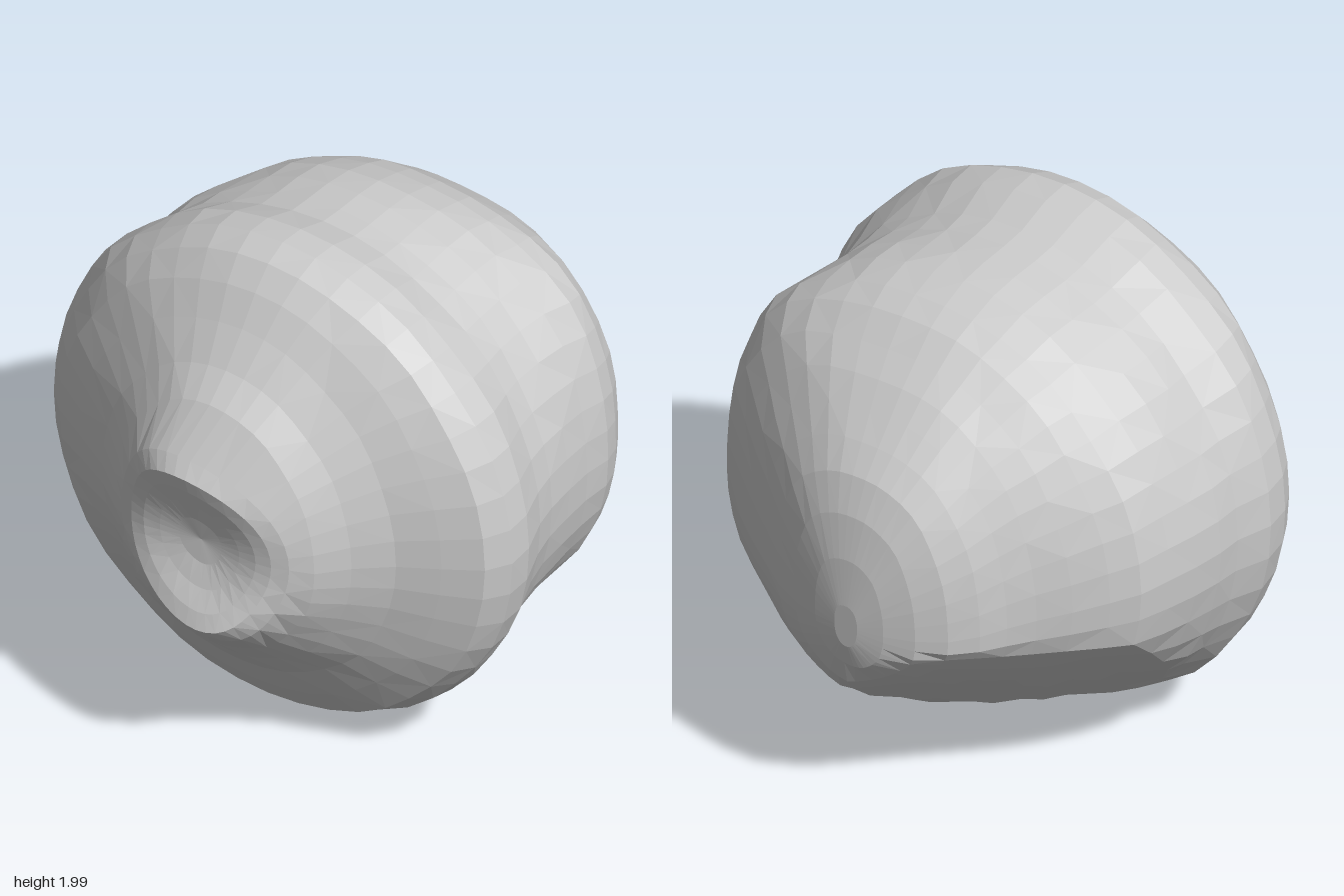
import * as THREE from 'three';

const SIDES = 44;

// Cross-sections from front to back: z, reach to +x, -x, top y, bottom y
const SECTIONS = [
  [0.80, 0.45, -0.41, 1.55, 0.52],
  [0.70, 0.54, -0.53, 1.64, 0.42],
  [0.60, 0.66, -0.70, 1.76, 0.31],
  [0.52, 0.80, -0.84, 1.87, 0.18],
  [0.44, 0.93, -0.92, 1.95, 0.07],
  [0.35, 0.985, -0.97, 1.99, 0.03],
  [0.24, 0.98, -0.99, 1.98, 0.00],
  [0.10, 0.93, -0.95, 1.93, 0.04],
  [0.00, 0.91, -0.95, 1.92, 0.08],
  [-0.12, 0.90, -0.935, 1.915, 0.10],
  [-0.24, 0.895, -0.91, 1.90, 0.13],
  [-0.36, 0.90, -0.87, 1.86, 0.18],
  [-0.45, 0.87, -0.80, 1.82, 0.22],
  [-0.55, 0.81, -0.71, 1.74, 0.27],
  [-0.64, 0.69, -0.62, 1.67, 0.32],
  [-0.72, 0.58, -0.55, 1.59, 0.37],
  [-0.80, 0.46, -0.49, 1.51, 0.43],
  [-0.88, 0.34, -0.41, 1.42, 0.49],
  [-0.94, 0.22, -0.31, 1.29, 0.58],
  [-0.98, 0.10, -0.20, 1.13, 0.69],
  [-1.00, 0.00, -0.10, 0.95, 0.78],
];

// Shallow hollow on the front, centre outwards: radius, z, lip above, lip below
const HOLLOW = [
  [0.09, 0.885, 0.01, 0.01],
  [0.17, 0.89, 0.03, 0.04],
  [0.24, 0.89, 0.055, 0.085],
  [0.30, 0.88, 0.08, 0.12],
  [0.36, 0.855, 0.065, 0.085],
];

// Broad flattened facet under the back, turned to the -x side
const FACET = new THREE.Vector3(-0.5, -0.7, -0.5).normalize();
const FACET_DISTANCE = 0.775;

// The lips rise only above and below; the sides stay open and rounded
function hollowRing([radius, z, above, below]) {
  return Array.from({ length: SIDES }, (_, j) => {
    const a = (j / SIDES) * Math.PI * 2, s = Math.sin(a);
    const lift = (s > 0 ? above : below) * s * s;
    return new THREE.Vector3(0.02 + radius * Math.cos(a) - 0.2 * radius * s * s * s, 1.02 + radius * s, z + lift);
  });
}

// Fullness of the back on its diagonals, by quadrant
function shoulder(c, s, z) {
  const back = THREE.MathUtils.smoothstep(-z, -0.05, 0.5);
  const rear = THREE.MathUtils.smoothstep(-z, 0.4, 0.8);
  if (s > 0) return c > 0 ? 0.09 * back : 0.05 * rear - 0.015 * back;
  return c > 0 ? 0.03 * back : 0.03 * rear;
}

// Four quarter-ellipses joined around a centre that drifts towards the back
function sectionRing([z, right, left, top, bottom]) {
  const t = THREE.MathUtils.smoothstep(-z, 0.2, 1);
  const cx = -0.05 * t, cy = 1 - 0.13 * t;
  return Array.from({ length: SIDES }, (_, j) => {
    const a = (j / SIDES) * Math.PI * 2, c = Math.cos(a), s = Math.sin(a);
    const lumps = 0.008 * Math.sin(9 * a + 13 * z);
    const swell = 1 + (shoulder(c, s, z) + lumps) * Math.sin(2 * a) ** 2;
    const p = new THREE.Vector3(
      cx + c * swell * (c > 0 ? right - cx : cx - left),
      cy + s * swell * (s > 0 ? top - cy : cy - bottom), z);
    // press anything beyond the facet most of the way back onto it
    const over = FACET.x * p.x + FACET.y * (p.y - 1) + FACET.z * p.z - FACET_DISTANCE;
    if (over > 0) p.addScaledVector(FACET, -over * 0.8);
    return p;
  });
}

function loft(rings, front, back) {
  const points = [...rings.flat(), front, back];
  const frontId = points.length - 2, backId = points.length - 1;
  const index = [];
  const last = (rings.length - 1) * SIDES;
  for (let j = 0; j < SIDES; j++) {
    const n = (j + 1) % SIDES;
    index.push(frontId, j, n, backId, last + n, last + j);
    for (let i = 0; i < rings.length - 1; i++) {
      const a = i * SIDES + j, b = a + SIDES, c = i * SIDES + n, d = c + SIDES;
      if ((i + j) % 2) index.push(a, b, c, c, b, d);
      else index.push(a, b, d, a, d, c);
    }
  }
  const geometry = new THREE.BufferGeometry().setFromPoints(points);
  geometry.setIndex(index);
  geometry.computeVertexNormals();
  return geometry;
}

export function createModel() {
  const group = new THREE.Group();
  group.name = 'asteroid';
  const rings = [...HOLLOW.map(hollowRing), ...SECTIONS.map(sectionRing)];
  const geometry = loft(rings, new THREE.Vector3(0.02, 1.02, 0.88), new THREE.Vector3(-0.05, 0.87, -1));
  const rock = new THREE.Mesh(geometry, new THREE.MeshStandardMaterial({ color: 0xcccccc, flatShading: true }));
  rock.name = 'rockBody';
  group.add(rock);
  return group;
}
